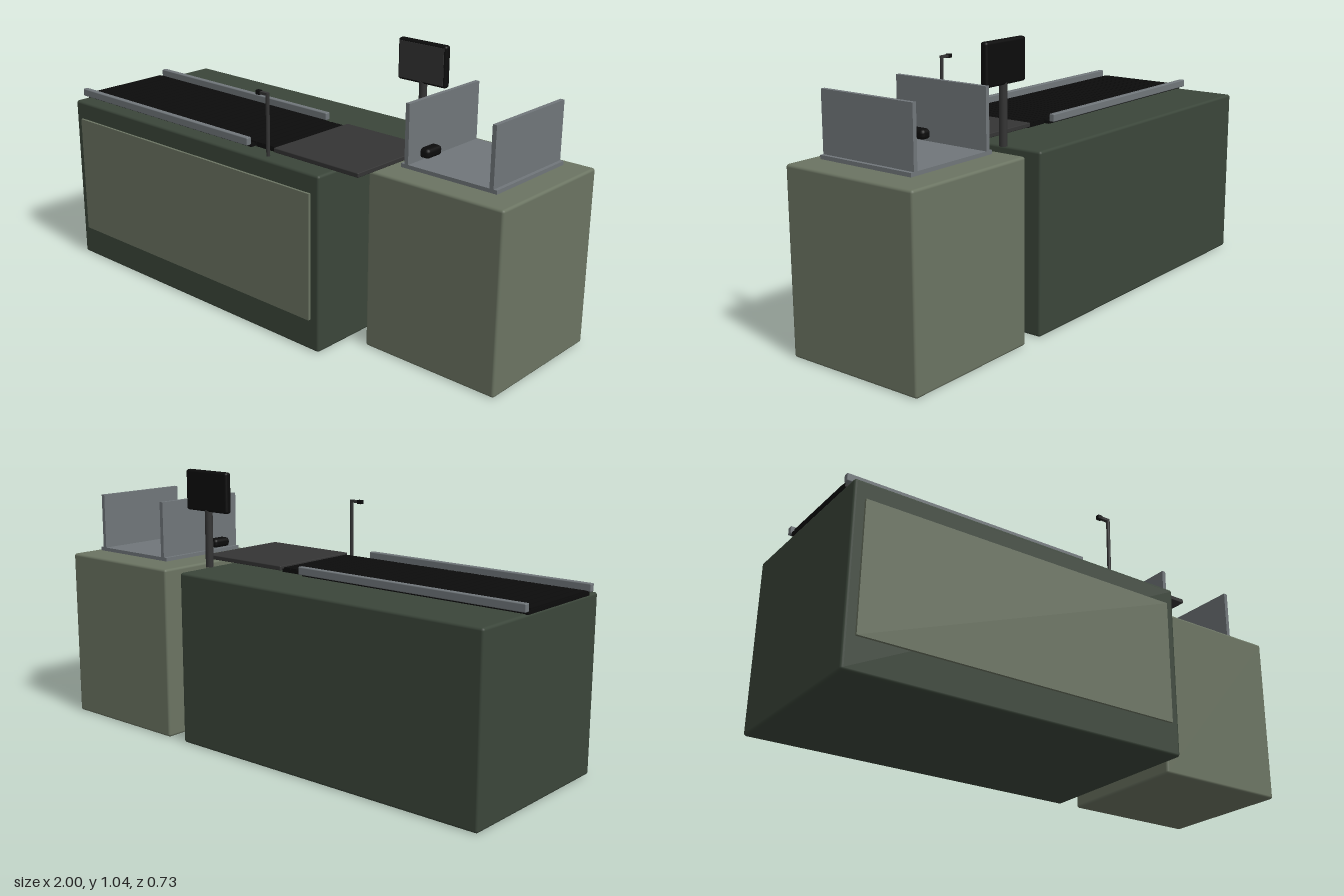
import * as THREE from 'three';
import { RoundedBoxGeometry } from 'three/addons/geometries/RoundedBoxGeometry.js';

const paint = (name, color) => {
  const m = new THREE.MeshStandardMaterial({ color });
  m.name = name;
  return m;
};

export function createModel() {
  const model = new THREE.Group();
  model.name = 'checkoutCounter';

  const darkGreen = paint('darkGreen', 0x3b463a);
  const sageGreen = paint('sageGreen', 0x6b7462);
  const steel = paint('steel', 0x70767a);
  const charcoal = paint('charcoal', 0x343434);
  const black = paint('black', 0x0c0c0c);

  // Box given by its min and max corners, with optional rounded edges
  const box = (name, mat, [x0, x1], [y0, y1], [z0, z1], radius = 0, parent = model) => {
    const s = [x1 - x0, y1 - y0, z1 - z0];
    const geo = radius ? new RoundedBoxGeometry(...s, 2, radius) : new THREE.BoxGeometry(...s);
    const mesh = new THREE.Mesh(geo, mat);
    mesh.name = name;
    mesh.position.set((x0 + x1) / 2, (y0 + y1) / 2, (z0 + z1) / 2);
    parent.add(mesh);
    return mesh;
  };
  const post = (name, mat, r, x, y0, y1, z, parent) => {
    const mesh = new THREE.Mesh(new THREE.CylinderGeometry(r, r, y1 - y0, 16), mat);
    mesh.name = name;
    mesh.position.set(x, (y0 + y1) / 2, z);
    parent.add(mesh);
  };
  const group = (name) => {
    const g = new THREE.Group();
    g.name = name;
    model.add(g);
    return g;
  };

  // Cabinets
  box('mainCabinet', darkGreen, [-0.993, 0.358], [0, 0.668], [-0.363, 0.353], 0.01);
  box('frontPanel', sageGreen, [-0.953, 0.32], [0.12, 0.598], [0.35, 0.363]);
  box('baggingCabinet', sageGreen, [0.44, 0.995], [0, 0.668], [-0.363, 0.191], 0.01);

  // Conveyor: bed, cross slats and side rails
  const conveyor = group('conveyor');
  box('beltBed', black, [-0.995, -0.033], [0.666, 0.68], [-0.112, 0.288], 0, conveyor);
  box('beltEnd', black, [-0.025, 0.08], [0.666, 0.68], [-0.095, 0.268], 0, conveyor);
  const slats = 32, pitch = 1.07 / slats;
  for (let i = 0; i < slats; i++) {
    const x = -0.993 + i * pitch;
    box('beltSlat', black, [x, x + pitch * 0.85], [0.678, 0.686], [-0.095, 0.268], 0, conveyor);
  }
  for (const side of [-1, 1]) {
    const z = 0.087 + side * 0.211;
    box('sideRail', steel, [-1, -0.033], [0.677, 0.707], [z - 0.011, z + 0.011], 0.004, conveyor);
  }

  // Scanning plate bridging the two cabinets
  box('scanPlate', charcoal, [0.08, 0.476], [0.674, 0.691], [-0.109, 0.287], 0.003);

  // Thin sensor post with a short arm
  const sensor = group('sensorPost');
  post('post', charcoal, 0.007, 0.082, 0.667, 0.9, 0.316, sensor);
  box('arm', charcoal, [0.035, 0.085], [0.89, 0.9], [0.309, 0.323], 0, sensor);
  box('sensorHead', black, [0.03, 0.05], [0.887, 0.902], [0.308, 0.324], 0, sensor);

  // Monitor on its pole
  const monitor = group('monitor');
  post('pole', charcoal, 0.015, 0.36, 0.667, 0.89, -0.205, monitor);
  box('monitorCase', black, [0.25, 0.468], [0.882, 1.038], [-0.22, -0.191], 0.01, monitor);
  box('screen', charcoal, [0.259, 0.459], [0.891, 1.029], [-0.194, -0.189], 0, monitor);

  // Bagging tray with two upright side walls
  const tray = group('baggingTray');
  box('trayBase', steel, [0.52, 0.914], [0.68, 0.694], [-0.284, 0.113], 0, tray);
  for (const x of [0.542, 0.892]) {
    box('trayWall', steel, [x - 0.008, x + 0.008], [0.69, 0.91], [-0.284, 0.113], 0, tray);
  }

  // Hand scanner resting through the inner wall
  box('handScanner', black, [0.5, 0.584], [0.702, 0.738], [-0.036, 0.046], 0.014);

  return model;
}
